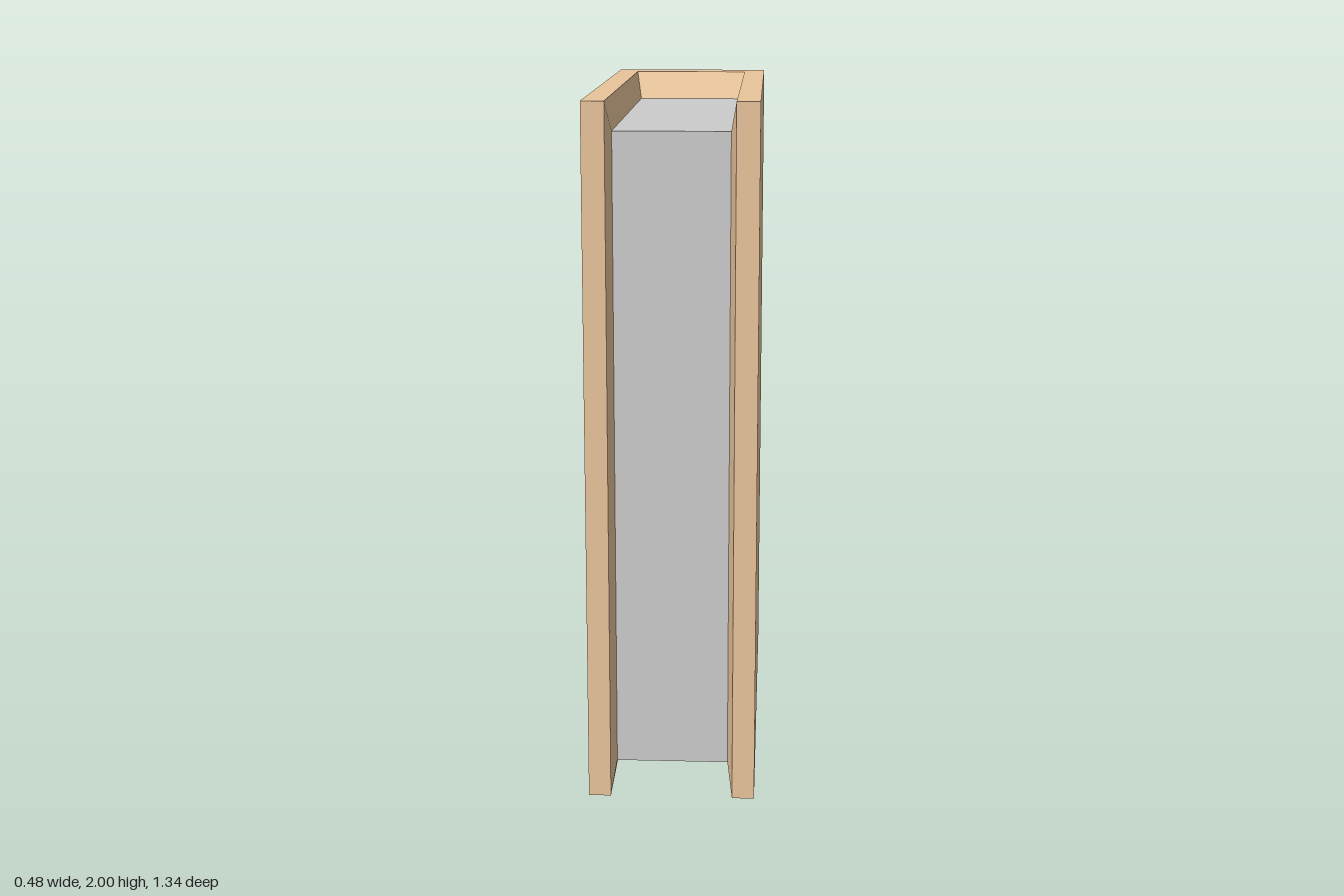
import * as THREE from 'three';

const H = 2, W = 0.24, D = 0.67;         // height, half width, half depth
const INNER = 0.176, SPINE = -0.565;     // inside faces of the boards and the spine
const PAGE = { x: 0.161, y0: 0.087, y1: 1.916, z0: -0.515, z1: 0.615 };

export function createModel() {
  const book = new THREE.Group();
  book.name = 'book';
  const coverMat = new THREE.MeshStandardMaterial({ color: 0xe8c49b, flatShading: true });
  const pageMat = new THREE.MeshStandardMaterial({ color: 0xcccccc, flatShading: true });

  const add = (name, geometry, material) => {
    const mesh = new THREE.Mesh(geometry, material);
    mesh.name = name;
    book.add(mesh);
  };

  // Box whose corners are placed by a rule from signs (sx, sy, sz)
  const shapedBox = (place) => {
    const g = new THREE.BoxGeometry(2, 2, 2);
    const p = g.attributes.position;
    for (let i = 0; i < p.count; i++) {
      p.setXYZ(i, ...place(p.getX(i), p.getY(i), p.getZ(i)));
    }
    g.computeVertexNormals();
    return g;
  };

  // Cover: U-shaped section, two boards joined by the spine (shape y becomes -z)
  const section = new THREE.Shape([
    [-W, -D], [-INNER, -D], [-INNER, -SPINE], [INNER, -SPINE],
    [INNER, -D], [W, -D], [W, D], [-W, D],
  ].map(([x, y]) => new THREE.Vector2(x, y)));
  const cover = new THREE.ExtrudeGeometry(section, { depth: H, bevelEnabled: false });
  cover.rotateX(-Math.PI / 2);
  add('cover', cover, coverMat);

  // Bevelled inside faces of the boards, narrowing towards the pages
  for (const side of [-1, 1]) {
    add(side > 0 ? 'leftBoardLining' : 'rightBoardLining', shapedBox((sx, sy, sz) => {
      const atPages = sx !== side;
      return [
        side * (atPages ? PAGE.x : INNER),
        atPages ? (sy > 0 ? PAGE.y1 : PAGE.y0) : (sy > 0 ? H : 0),
        sz > 0 ? (atPages ? PAGE.z1 : D) : (atPages ? PAGE.z0 : SPINE),
      ];
    }), coverMat);
  }

  // Bevelled inside face of the spine
  add('spineLining', shapedBox((sx, sy, sz) => [
    sx * (sz > 0 ? PAGE.x : INNER),
    sz > 0 ? (sy > 0 ? PAGE.y1 : PAGE.y0) : (sy > 0 ? H : 0),
    sz > 0 ? PAGE.z0 : SPINE,
  ]), coverMat);

  // Page block
  const pages = new THREE.BoxGeometry(PAGE.x * 2, PAGE.y1 - PAGE.y0, PAGE.z1 - PAGE.z0);
  pages.translate(0, (PAGE.y0 + PAGE.y1) / 2, (PAGE.z0 + PAGE.z1) / 2);
  add('pages', pages, pageMat);

  return book;
}
